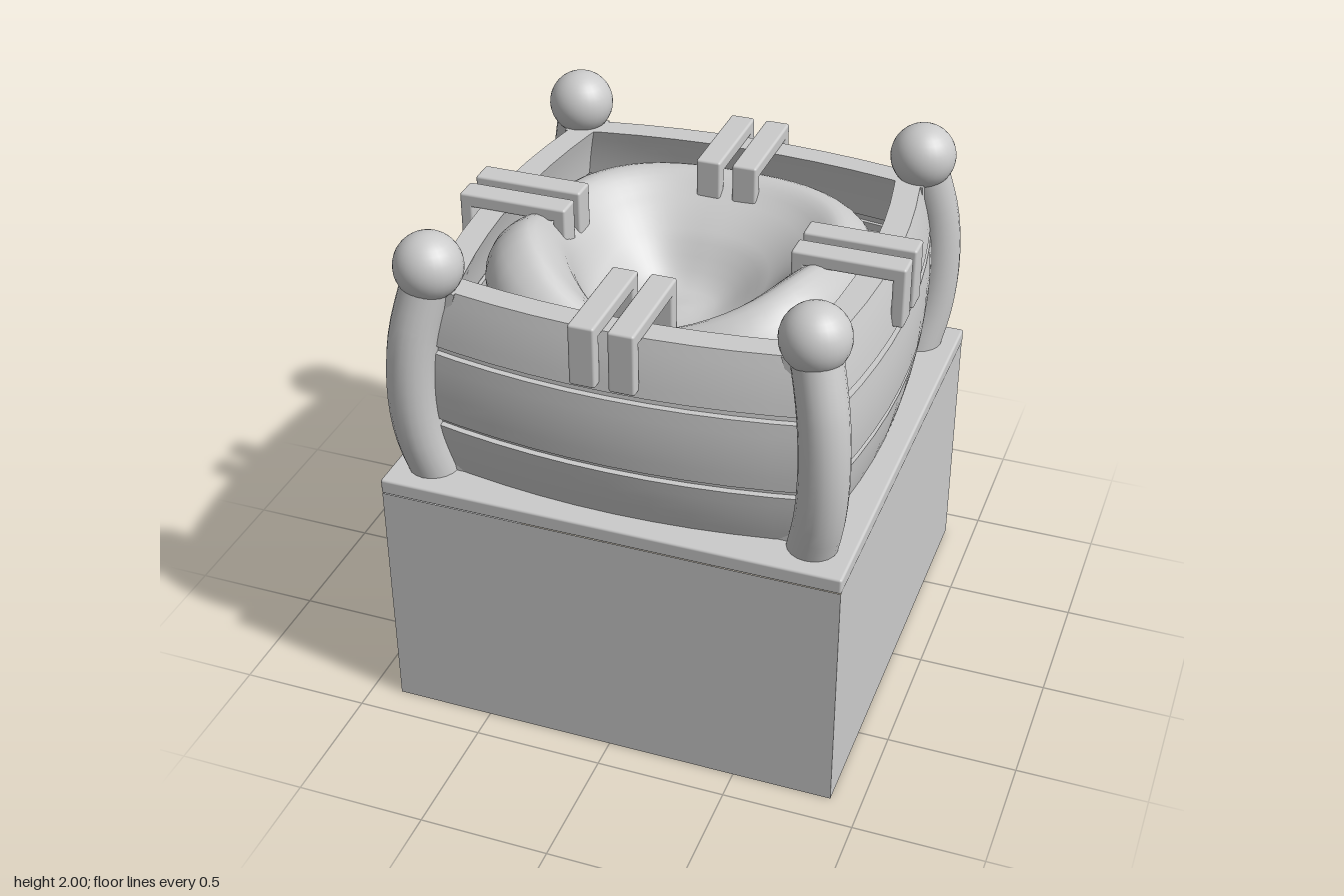
import * as THREE from 'three';
import { RoundedBoxGeometry } from 'three/addons/geometries/RoundedBoxGeometry.js';
import { ParametricGeometry } from 'three/addons/geometries/ParametricGeometry.js';

const grey = new THREE.MeshStandardMaterial({ color: 0xcccccc });
const greyThin = new THREE.MeshStandardMaterial({ color: 0xcccccc, side: THREE.DoubleSide });
const greyFlat = new THREE.MeshStandardMaterial({ color: 0xcccccc, side: THREE.DoubleSide, flatShading: true });

function add(parent, name, geometry, material = grey, x = 0, y = 0, z = 0) {
  const mesh = new THREE.Mesh(geometry, material);
  mesh.name = name;
  mesh.position.set(x, y, z);
  parent.add(mesh);
  return mesh;
}

// Barrel-like bulge of the crate walls, by height and distance along the wall
const bulge = (s, y) => -0.4 * (y - 1.39) ** 2 - 0.155 * s * s;

// A plank bent to the bulge, its outer face at most `front` from the centre
function plank(y0, y1, front, depth) {
  const geo = new THREE.BoxGeometry(1.48, y1 - y0, depth, 10, 5, 1);
  geo.translate(0, (y0 + y1) / 2, front - depth / 2);
  const p = geo.attributes.position;
  for (let i = 0; i < p.count; i++) p.setZ(i, p.getZ(i) + bulge(p.getX(i), p.getY(i)));
  geo.computeVertexNormals();
  return geo;
}

// Rounded-square dish with a rolled, wavy rim
function dishGeometry() {
  const wave = (a, centre, width) => {
    const d = Math.atan2(Math.sin(a - centre), Math.cos(a - centre)) / width;
    return Math.exp(-d * d);
  };
  const profileAt = (a) => {
    const c = Math.abs(Math.cos(a)), s = Math.abs(Math.sin(a));
    const R = 0.7 / (c ** 2.7 + s ** 2.7) ** (1 / 2.7);
    const crest = 1.75 + 0.11 * wave(a, 2.54, 0.45) + 0.07 * wave(a, 0.5, 0.45)
      - 0.09 * wave(a, Math.PI / 2, 0.5);
    const back = (1 - Math.sin(a)) / 2; // the bowl is steeper towards the back
    return new THREE.CatmullRomCurve3([
      [0, 1.43], [0.22, 1.44 - 0.01 * back], [0.45, 1.49 + 0.11 * back],
      [0.62, crest - 0.11 + 0.05 * back], [0.78, crest], [0.93, crest - 0.06],
      [1, crest - 0.18], [0.95, crest - 0.3], [0.84, crest - 0.38],
    ].map(([r, y]) => new THREE.Vector3(r * R, y, 0)));
  };
  let lastU = -1, profile;
  const point = new THREE.Vector3();
  return new ParametricGeometry((u, v, target) => {
    const a = u * Math.PI * 2;
    if (u !== lastU) { profile = profileAt(a); lastU = u; }
    profile.getPoint(v, point);
    const shift = -0.05 * Math.max(0, 1 - point.x / 0.5);
    target.set(Math.cos(a) * point.x + shift - 0.01, point.y, Math.sin(a) * point.x - 0.01);
  }, 64, 36);
}

export function createModel() {
  const model = new THREE.Group();
  model.name = 'crateOnPedestal';

  // Hollow pedestal, open underneath, closed by the lid
  const walls = new THREE.CylinderGeometry(0.883 * Math.SQRT2, 0.883 * Math.SQRT2, 0.968, 4, 1, true);
  walls.rotateY(Math.PI / 4);
  add(model, 'pedestalWalls', walls, greyFlat, 0, 0.484, 0);
  add(model, 'pedestalLid', new RoundedBoxGeometry(1.772, 0.062, 1.772, 2, 0.01), grey, 0, 0.999, 0);

  const crate = new THREE.Group();
  crate.name = 'crate';
  crate.position.set(-0.004, 0, -0.007);
  model.add(crate);

  const rows = [[1.02, 1.24], [1.27, 1.547], [1.577, 1.79]];
  const postCurve = new THREE.CatmullRomCurve3([
    [0.73, 1.01], [0.766, 1.19], [0.778, 1.38], [0.763, 1.6], [0.716, 1.82],
  ].map(([d, y]) => new THREE.Vector3(d, y, d)));

  for (let i = 0; i < 4; i++) {
    const side = new THREE.Group();
    side.name = 'crateSide' + (i + 1);
    side.rotation.y = i * Math.PI / 2;
    crate.add(side);

    // Three planks with a recessed strip behind the gaps
    for (const [y0, y1] of rows) add(side, 'plank', plank(y0, y1, 0.85, 0.1));
    add(side, 'plankBacking', plank(1.2, 1.62, 0.825, 0.06));

    // Pair of clamps hooked over the rim
    for (const x of [-0.073, 0.073]) {
      const clamp = new THREE.Group();
      clamp.name = 'clamp';
      clamp.position.x = x;
      side.add(clamp);
      add(clamp, 'clampBar', new RoundedBoxGeometry(0.098, 0.055, 0.428, 2, 0.01), grey, 0, 1.8125, 0.653);
      for (const z of [0.464, 0.842])
        add(clamp, 'clampLeg', new RoundedBoxGeometry(0.098, 0.24, 0.05, 2, 0.01), grey, 0, 1.72, z);
    }

    // Curved corner post with a ball on top
    add(side, 'cornerPost', new THREE.TubeGeometry(postCurve, 14, 0.092, 20), greyThin);
    add(side, 'postBall', new THREE.SphereGeometry(0.127, 28, 18), grey, 0.71, 1.873, 0.71);
  }

  // Square padding under the dish, mitred at the corners
  const padding = new THREE.TorusGeometry(0.82, 0.19, 14, 4);
  padding.rotateX(Math.PI / 2);
  padding.rotateY(Math.PI / 4);
  add(crate, 'padding', padding, greyFlat, 0, 1.38, 0);

  add(crate, 'dish', dishGeometry(), greyThin);
  return model;
}
